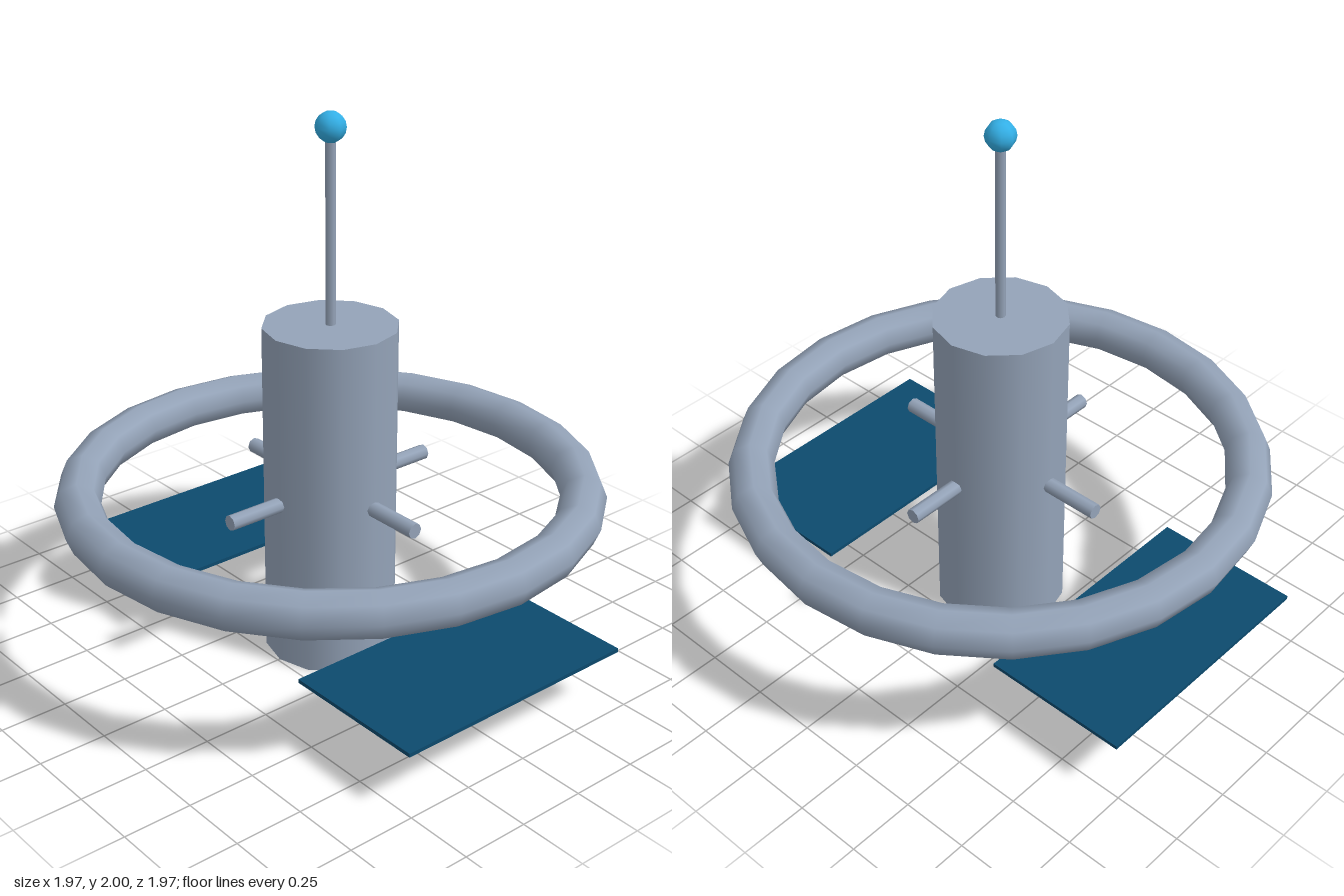
import * as THREE from 'three';

const paint = (name, color) => {
  const m = new THREE.MeshStandardMaterial({ color });
  m.name = name;
  return m;
};

export function createModel() {
  const metal = paint('grey metal', 0x94a3b8);
  const panelBlue = paint('dark blue panel', 0x0c4a6e);
  const beaconBlue = paint('bright blue', 0x38bdf8);

  const model = new THREE.Group();
  model.name = 'spaceStation';
  const add = (name, geometry, material, x = 0, y = 0, z = 0) => {
    const mesh = new THREE.Mesh(geometry, material);
    mesh.name = name;
    mesh.position.set(x, y, z);
    model.add(mesh);
    return mesh;
  };

  // Central hull
  add('hull', new THREE.CylinderGeometry(0.241, 0.241, 1.25, 12), metal, 0, 0.625, 0);

  // Habitat ring lying flat around the hull
  const ringY = 0.628;
  add('ring', new THREE.TorusGeometry(0.9, 0.083, 8, 24).rotateX(Math.PI / 2), metal, 0, ringY, 0);

  // Four short spokes, as two rods crossing through the hull
  const rod = new THREE.CylinderGeometry(0.028, 0.028, 0.9, 8);
  add('sideSpokes', rod, metal, 0, ringY, 0).rotation.z = Math.PI / 2;
  add('frontBackSpokes', rod, metal, 0, ringY, 0).rotation.x = Math.PI / 2;

  // Solar panels on both sides
  const panel = new THREE.BoxGeometry(0.555, 0.014, 0.97);
  add('leftPanel', panel, panelBlue, 0.692, 0.212, 0);
  add('rightPanel', panel, panelBlue, -0.692, 0.212, 0);

  // Antenna mast with a beacon
  add('mast', new THREE.CylinderGeometry(0.018, 0.018, 0.7, 8), metal, 0, 1.6, 0);
  add('beacon', new THREE.SphereGeometry(0.054, 8, 8), beaconBlue, 0, 1.946, 0);

  return model;
}
